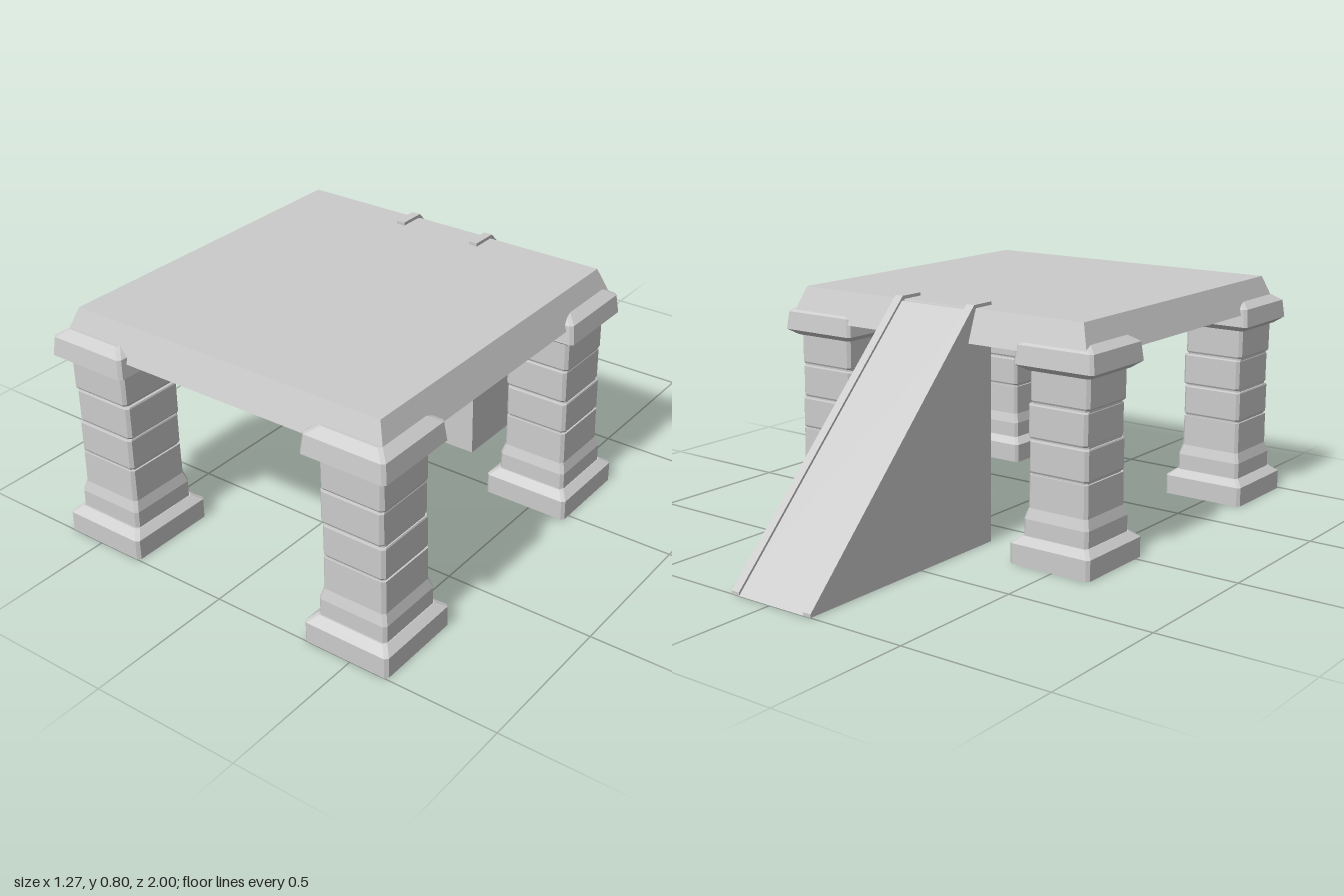
import * as THREE from 'three';

const stone = new THREE.MeshStandardMaterial({ color: 0xcccccc, flatShading: true });

// Stack of chamfered rectangular rings [y, halfX, halfZ], closed at both ends
function loft(rings, chamfer = 0.01) {
  const c = chamfer;
  const loops = rings.map(([y, hx, hz = hx]) => [
    [hx, hz - c], [hx - c, hz], [c - hx, hz], [-hx, hz - c],
    [-hx, c - hz], [c - hx, -hz], [hx - c, -hz], [hx, c - hz],
  ].map(([x, z]) => [x, y, z]));
  const pos = [];
  const tri = (a, b, d) => pos.push(...a, ...b, ...d);
  const bottom = loops[0], top = loops[loops.length - 1];
  for (let i = 0; i < 8; i++) {
    const j = (i + 1) % 8;
    for (let k = 0; k < loops.length - 1; k++) {
      const lo = loops[k], hi = loops[k + 1];
      tri(lo[i], hi[i], hi[j]);
      tri(lo[i], hi[j], lo[j]);
    }
    tri([0, bottom[0][1], 0], bottom[i], bottom[j]);
    tri([0, top[0][1], 0], top[j], top[i]);
  }
  const g = new THREE.BufferGeometry();
  g.setAttribute('position', new THREE.Float32BufferAttribute(pos, 3));
  g.computeVertexNormals();
  return g;
}

// Side profile of [z, y] points, extruded from x0 to x1
function slab(points, x0, x1) {
  const shape = new THREE.Shape(points.map(([z, y]) => new THREE.Vector2(z, y)));
  const g = new THREE.ExtrudeGeometry(shape, { depth: x1 - x0, bevelEnabled: false });
  return g.rotateY(-Math.PI / 2).translate(x1, 0, 0);
}

function add(parent, name, geometry, x = 0, z = 0) {
  const m = new THREE.Mesh(geometry, stone);
  m.name = name;
  m.position.set(x, 0, z);
  parent.add(m);
}

// Pillar: plinth, flared foot, stacked blocks over a recessed core, capital
function makePillar(name, side) {
  const pillar = new THREE.Group();
  pillar.name = name;
  add(pillar, 'plinth', loft([[0, 0.15, 0.155], [0.068, 0.15, 0.155], [0.09, 0.124, 0.126]]));
  add(pillar, 'foot', loft([[0.085, 0.121], [0.145, 0.121], [0.18, 0.111], [0.288, 0.11]]));
  add(pillar, 'core', loft([[0.2, 0.104], [0.64, 0.104]]));
  const blocks = [[0.294, 0.4, 0, 0], [0.405, 0.515, -0.005, 0], [0.52, 0.63, 0, 0.003]];
  for (const [y0, y1, dx, dz] of blocks) {
    add(pillar, 'block', loft([[y0, 0.107], [y0 + 0.006, 0.11], [y1 - 0.005, 0.11], [y1, 0.108]]), dx * side, dz);
  }
  add(pillar, 'capital', loft([
    [0.622, 0.12], [0.642, 0.147, 0.15], [0.703, 0.14, 0.143], [0.726, 0.105, 0.11],
  ]), 0, 0.003);
  return pillar;
}

export function createModel() {
  const model = new THREE.Group();
  model.name = 'platformWithRamp';

  // Platform with sloping edges
  add(model, 'platform', loft([[0.683, 0.605, 0.612], [0.79, 0.565, 0.573]], 0.0005), -0.003, 0.352);

  // Four corner pillars
  for (const side of [-1, 1]) {
    for (const [end, z] of [['front', 0.845], ['back', -0.12]]) {
      const pillar = makePillar(end + (side > 0 ? 'Left' : 'Right') + 'Pillar', side);
      pillar.position.set(side * 0.483 - 0.002, 0, z);
      model.add(pillar);
    }
  }

  // Solid ramp wedge at the back
  add(model, 'ramp', slab([[-1, 0], [-0.14, 0], [-0.14, 0.785], [-0.235, 0.785]], -0.163, 0.158));

  // Raised rails that hook over the platform edge
  const rail = [[-1, 0], [-0.235, 0.78], [-0.14, 0.78], [-0.14, 0.801], [-0.23, 0.801], [-1, 0.011]];
  add(model, 'rightRail', slab(rail, -0.1635, -0.133));
  add(model, 'leftRail', slab(rail, 0.128, 0.1585));

  return model;
}
